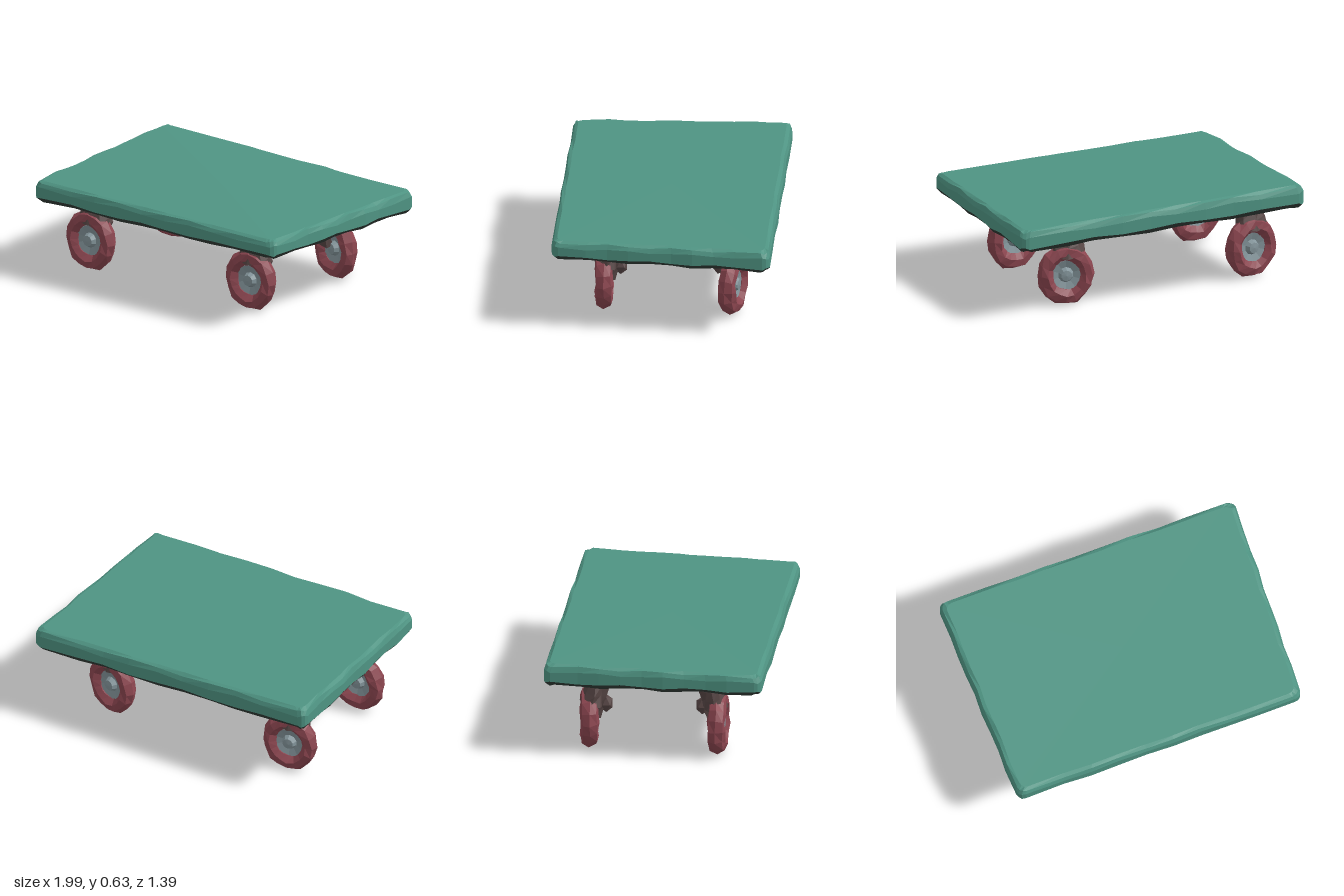
import * as THREE from 'three';

const mat = (color) => new THREE.MeshStandardMaterial({ color, flatShading: true, side: THREE.DoubleSide });
const mats = {
  top: mat(0x4f9483), under: mat(0x303a35), tyre: mat(0x8c4650),
  hub: mat(0x84959b), dark: mat(0x574645),
};
const lerp = THREE.MathUtils.lerp;

function add(parent, name, geometry, material, pos = [0, 0, 0], rot = [0, 0, 0], scale = [1, 1, 1]) {
  const m = new THREE.Mesh(geometry, material);
  m.name = name;
  m.position.set(...pos);
  m.rotation.set(...rot);
  m.scale.set(...scale);
  parent.add(m);
  return m;
}

// Small repeatable dents that make a surface look hand-carved
function roughen(geometry, amount) {
  const p = geometry.attributes.position;
  for (let i = 0; i < p.count; i++) {
    const [x, y, z] = [p.getX(i), p.getY(i), p.getZ(i)];
    p.setXYZ(i,
      x + amount * Math.sin(31 * y + 47 * z + 1),
      y + amount * Math.sin(43 * x + 29 * z + 2),
      z + amount * Math.sin(37 * x + 41 * y));
  }
  geometry.computeVertexNormals();
  return geometry;
}

// Plan outline of the deck, anticlockwise from above, as u and v in -1..1
function outline() {
  const pts = [];
  const edges = 9, r = 0.05;
  const corners = [[1, 1], [1, -1], [-1, -1], [-1, 1]];
  corners.forEach(([u, v], k) => {
    const a0 = -Math.PI / 2 + k * Math.PI / 2;
    for (let j = 0; j <= 3; j++) {
      const a = a0 + (j / 3) * Math.PI / 2;
      pts.push([u * (1 - r) + r * Math.cos(a), v * (1 - r * 1.3) - r * 1.3 * Math.sin(a)]);
    }
    const [nu, nv] = corners[(k + 1) % 4];
    for (let j = 1; j < edges; j++) {
      const t = lerp(0.06, 0.94, j / edges);
      const w = 1 + 0.005 * Math.sin(j * 2.3 + k);
      const pu = lerp(u, nu, t), pv = lerp(v, nv, t);
      pts.push(u === nu ? [pu * w, pv] : [pu, pv * w]);
    }
  });
  return pts;
}

// Warped deck: height t runs from the underside (0) to the top (1)
function deckPoint(u, v, t) {
  const s = (u + 1) / 2, f = (v + 1) / 2;
  const x = lerp(lerp(-1, -0.98, f), lerp(0.99, 0.925, f), s);
  const top = lerp(lerp(0.643, 0.625, f), lerp(0.603, 0.61, f), s);
  const bottom = lerp(lerp(0.49, 0.49, f), lerp(0.46, 0.485, f), s);
  return [x, lerp(bottom, top, t), 0.69 * v];
}

// Joins [inset, height] rings from the top down, then caps one end
function deckLoft(levels, capTop) {
  const pts = outline(), n = pts.length, verts = [];
  const rings = levels.map(([inset, t], l) => pts.map(([u, v], i) =>
    deckPoint(u * (1 - inset), v * (1 - inset * 1.4),
      t + (t > 0 && t < 1 ? 0.05 * Math.sin(i * 1.9 + 5 * t) : 0))));
  const capRing = capTop ? rings[0] : rings[rings.length - 1];
  const centre = deckPoint(0, 0, capTop ? 1 : 0);
  for (let i = 0; i < n; i++) {
    const j = (i + 1) % n;
    for (let l = 0; l + 1 < rings.length; l++) {
      const a = rings[l], b = rings[l + 1];
      verts.push(...b[i], ...b[j], ...a[j], ...b[i], ...a[j], ...a[i]);
    }
    if (capTop) verts.push(...centre, ...capRing[i], ...capRing[j]);
    else verts.push(...centre, ...capRing[j], ...capRing[i]);
  }
  const g = new THREE.BufferGeometry();
  g.setAttribute('position', new THREE.Float32BufferAttribute(verts, 3));
  g.computeVertexNormals();
  return g;
}

// One caster; its outer face looks along local +z
function caster(name) {
  const g = new THREE.Group();
  g.name = name;
  add(g, 'tyre', roughen(new THREE.TorusGeometry(0.133, 0.05, 7, 16), 0.005), mats.tyre,
    [0, 0.2, 0], [0, 0, 0], [1, 1.08, 1.15]);
  // Dished hub with a raised boss on both faces
  const profile = [[0, 0.045], [0.035, 0.04], [0.05, 0.01], [0.1, 0.025],
    [0.1, -0.025], [0.05, -0.01], [0.035, -0.04], [0, -0.045]];
  add(g, 'hub', new THREE.LatheGeometry(profile.map(([x, y]) => new THREE.Vector2(x, y)).reverse(), 10),
    mats.hub, [0, 0.2, 0], [Math.PI / 2, 0, 0]);
  // Hood over the tyre, leaning inwards as it rises
  add(g, 'hood', roughen(new THREE.CylinderGeometry(0.085, 0.125, 0.14, 8, 2), 0.01), mats.dark,
    [0.015, 0.375, -0.025], [-0.15, 0, 0], [1, 1, 0.62]);
  add(g, 'swivelNeck', new THREE.CylinderGeometry(0.045, 0.075, 0.09, 7), mats.dark,
    [0.02, 0.46, -0.04]);
  // Fork arm and axle knuckle on the inner face
  add(g, 'forkArm', roughen(new THREE.BoxGeometry(0.07, 0.22, 0.045, 1, 3, 1), 0.008), mats.dark,
    [0.03, 0.32, -0.075], [-0.25, 0, 0.1]);
  add(g, 'knuckle', new THREE.IcosahedronGeometry(0.05, 0), mats.dark,
    [0.035, 0.3, -0.105], [0, 0, 0], [1, 1.2, 0.9]);
  return g;
}

export function createModel() {
  const model = new THREE.Group();
  model.name = 'wheeledPlatform';

  const deck = new THREE.Group();
  deck.name = 'deck';
  model.add(deck);
  add(deck, 'deckTop', deckLoft([[0.035, 1], [0.012, 0.92], [0, 0.7], [0, 0.22]], true), mats.top);
  add(deck, 'deckUnderside', deckLoft([[0, 0.22], [0.02, 0.04], [0.05, 0]], false), mats.under);

  // Name, x, z and yaw of each caster
  const places = [
    ['frontRightCaster', -0.75, 0.39, 0],
    ['frontLeftCaster', 0.52, 0.385, 0.05],
    ['backRightCaster', -0.74, -0.43, Math.PI + 0.15],
    ['backLeftCaster', 0.56, -0.43, Math.PI - 0.25],
  ];
  for (const [name, x, z, yaw] of places) {
    const c = caster(name);
    c.position.set(x, 0, z);
    c.rotation.y = yaw;
    model.add(c);
  }
  return model;
}
